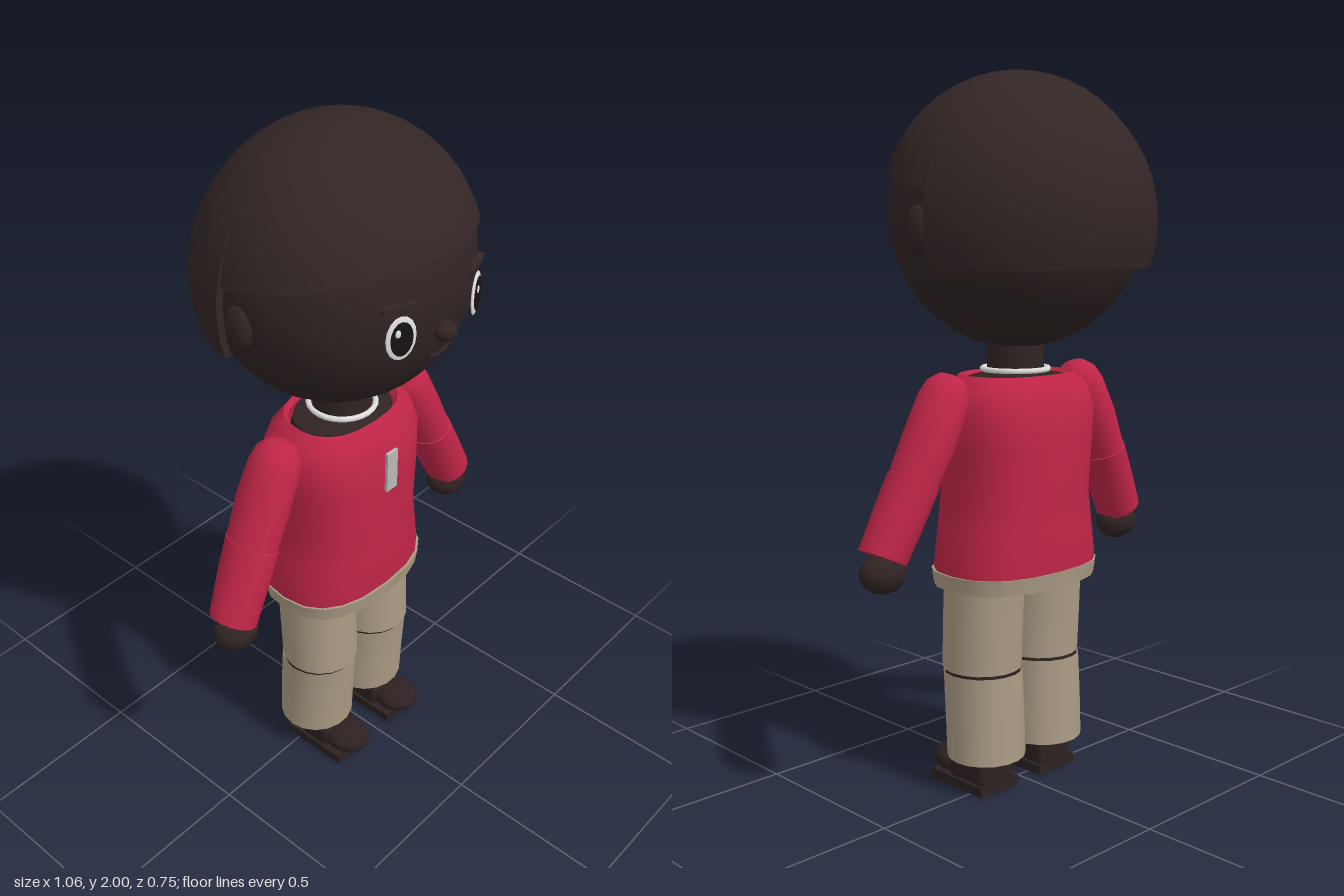
import * as THREE from 'three';
import { toCreasedNormals } from 'three/addons/utils/BufferGeometryUtils.js';
import { RoundedBoxGeometry } from 'three/addons/geometries/RoundedBoxGeometry.js';

const mat = (name, color, side = THREE.FrontSide) => {
  const m = new THREE.MeshStandardMaterial({ color, side });
  m.name = name;
  return m;
};

// Surface through a grid of points f(row, column)
function grid(rows, cols, f, crease = 0.75) {
  const pos = [], idx = [];
  for (let i = 0; i <= rows; i++)
    for (let j = 0; j <= cols; j++) pos.push(...f(i, j));
  for (let i = 0; i < rows; i++)
    for (let j = 0; j < cols; j++) {
      const a = i * (cols + 1) + j, c = a + cols + 1;
      idx.push(a, c, a + 1, a + 1, c, c + 1);
    }
  const g = new THREE.BufferGeometry();
  g.setAttribute('position', new THREE.Float32BufferAttribute(pos, 3));
  g.setIndex(idx);
  return toCreasedNormals(g, crease);
}

// Loft through upward rings [y, rx, rz, zCentre]; p < 1 squares the section
function loft(rings, sides = 18, p = 1) {
  const pw = (v) => Math.sign(v) * Math.abs(v) ** p;
  return grid(rings.length - 1, sides, (i, j) => {
    const [y, rx, rz, cz = 0] = rings[i], a = ((j % sides) / sides) * Math.PI * 2;
    return [rx * pw(Math.cos(a)), y, cz + rz * pw(Math.sin(a))];
  });
}

export function createModel() {
  const root = new THREE.Group();
  const D = THREE.DoubleSide;
  const skin = mat('skin', 0x302423), hair = mat('hair', 0x322625, D);
  const red = mat('shirt red', 0xc02548, D), khaki = mat('trouser khaki', 0xaa9c84, D);
  const white = mat('white', 0xe2e2e0), silver = mat('placket grey', 0xb9b9b8);
  const dark = mat('eye black', 0x171212), shoeMat = mat('shoe brown', 0x2d2221);

  const add = (name, geo, m, x = 0, y = 0, z = 0, parent = root) => {
    const mesh = new THREE.Mesh(geo, m);
    mesh.name = name;
    mesh.position.set(x, y, z);
    parent.add(mesh);
    return mesh;
  };
  const ball = (rx, ry, rz, w = 16, h = 12) => new THREE.SphereGeometry(1, w, h).scale(rx, ry, rz);

  // Head, nose and smile
  add('head', ball(0.365, 0.365, 0.345, 24, 18), skin, 0, 1.62, 0);
  add('nose', ball(0.032, 0.027, 0.03, 10, 8), skin, 0, 1.55, 0.345);
  const smile = new THREE.TorusGeometry(0.065, 0.007, 6, 12, 1.5).rotateZ(-Math.PI / 2 - 0.75);
  add('mouth', smile, skin, 0, 1.54, 0.334).rotation.x = 0.15;

  // Hair cap, cut by a plane that rises towards the forehead
  const capCols = 32, capRows = 12;
  const cap = grid(capRows + 1, capCols, (i, j) => {
    const a = ((j % capCols) / capCols) * Math.PI * 2, k = i === 0 ? 0.955 : 1;
    const B = 0.22 * 0.36 * Math.sin(a);
    const rim = Math.acos(0.056 / Math.hypot(0.375, B)) - Math.atan2(B, 0.375);
    const t = rim * (1 - Math.max(i - 1, 0) / capRows), s = Math.sin(t);
    return [0.375 * k * s * Math.cos(a), 1.625 + 0.375 * Math.cos(t), 0.36 * k * s * Math.sin(a)];
  });
  add('hairCap', cap, hair);

  // Back hair, a shell behind the ears with turned-in edges
  const backRows = 14, backCols = 22;
  const back = grid(backRows + 1, backCols + 2, (i, j) => {
    const t0 = Math.asin(0.05 / 0.378), t1 = Math.acos(-0.32);
    const t = t1 + (t0 - t1) * Math.max(i - 1, 0) / backRows, s = Math.sin(t);
    const k = i === 0 || j === 0 || j === backCols + 2 ? 0.94 : 1;
    const half = Math.acos(Math.min(1, 0.05 / (0.378 * s)));
    const u = Math.min(Math.max(j - 1, 0), backCols) / backCols * 2 - 1;
    return [0.388 * s * k * Math.sin(u * half), 1.6 + 0.39 * Math.cos(t),
      -0.378 * s * Math.cos(u * half) * (i === 0 ? k : 1)];
  });
  add('backHair', back, hair);

  // Neck, chest and collar
  add('neck', new THREE.CylinderGeometry(0.078, 0.08, 0.14, 16), skin, 0, 1.23, 0.01);
  add('chest', loft([[1.14, 0.17, 0.12, 0.01], [1.175, 0.155, 0.115, 0.01], [1.19, 0.07, 0.07, 0.01],
    [1.19, 0.001, 0.001, 0.01]]), skin);
  const collar = new THREE.TorusGeometry(0.092, 0.008, 6, 24).rotateX(Math.PI / 2);
  add('collar', collar, white, 0, 1.195, 0.01);

  // Shirt body, placket and trouser waist
  add('shirt', loft([[0.62, 0.246, 0.173, 0.01], [0.65, 0.247, 0.175, 0.01], [0.75, 0.23, 0.175, 0.01],
    [0.85, 0.214, 0.175, 0.01], [1.0, 0.227, 0.177, 0.008], [1.09, 0.236, 0.17, 0.006],
    [1.15, 0.218, 0.148, 0.006], [1.185, 0.17, 0.125, 0.006], [1.17, 0.155, 0.115, 0.006]], 20, 0.8), red);
  add('placket', new THREE.BoxGeometry(0.042, 0.125, 0.009), silver, 0, 1.048, 0.189);
  add('waistband', loft([[0.597, 0.246, 0.174, 0.012], [0.642, 0.252, 0.18, 0.012],
    [0.642, 0.23, 0.16, 0.012]], 20, 0.8), khaki);
  add('hips', loft([[0.61, 0.001, 0.001, 0.012], [0.61, 0.242, 0.17, 0.012], [0.625, 0.242, 0.17, 0.012]],
    20, 0.8), skin);

  for (const s of [1, -1]) {
    const side = s > 0 ? 'left' : 'right';

    // Eye, brow and ear
    const eye = new THREE.Group();
    eye.name = side + 'Eye';
    eye.position.set(s * 0.145, 1.585, 0.324);
    eye.rotation.y = s * 0.39;
    root.add(eye);
    add('eyeWhite', ball(0.042, 0.06, 0.006, 20, 8), white, 0, 0, 0, eye);
    add('iris', ball(0.031, 0.047, 0.004, 20, 8), dark, 0, 0, 0.005, eye);
    add('eyeGlint', ball(0.008, 0.011, 0.003, 10, 6), white, -0.012, 0.018, 0.008, eye);
    add('brow', new THREE.BoxGeometry(0.1, 0.015, 0.015), hair, 0, 0.08, -0.004, eye);
    add(side + 'Ear', ball(0.028, 0.062, 0.042, 12, 10), skin, s * 0.358, 1.58, 0);

    // Arm hanging outwards: upper sleeve, lower sleeve and hand
    const arm = new THREE.Group();
    arm.name = side + 'Arm';
    arm.position.set(s * 0.263, 1.135, 0.012);
    arm.rotation.z = s * 0.4636;
    root.add(arm);
    add('upperSleeve', loft([[-0.245, 0.064, 0.076, 0.006], [-0.12, 0.069, 0.08, 0], [-0.01, 0.068, 0.074, 0],
      [0.03, 0.06, 0.062, 0], [0.058, 0.036, 0.038, 0], [0.066, 0.001, 0.001, 0]]), red, 0, 0, 0, arm);
    add('lowerSleeve', loft([[-0.455, 0.001, 0.001, 0.02], [-0.455, 0.066, 0.068, 0.02],
      [-0.35, 0.068, 0.075, 0.013], [-0.235, 0.067, 0.08, 0.006], [-0.225, 0.05, 0.06, 0.006]]), red, 0, 0, 0, arm);
    add(side + 'Hand', ball(0.068, 0.055, 0.058, 12, 10), skin, s * 0.462, 0.686, 0.036);

    // Leg in two tubes with a dark crease at the knee
    const leg = new THREE.Group();
    leg.name = side + 'Leg';
    leg.position.x = s * 0.116;
    root.add(leg);
    add('upperTrouser', loft([[0.358, 0.112, 0.113, 0.027], [0.5, 0.114, 0.113, 0.021],
      [0.63, 0.114, 0.112, 0.015]]), khaki, 0, 0, 0, leg);
    add('lowerTrouser', loft([[0.1, 0.001, 0.001, 0.01], [0.1, 0.113, 0.11, 0.01], [0.22, 0.113, 0.111, 0.015],
      [0.35, 0.112, 0.112, 0.023]]), khaki, 0, 0, 0, leg);
    add('knee', new THREE.CylinderGeometry(0.107, 0.107, 0.03, 18), skin, 0, 0.354, 0.025, leg);

    // Shoe
    add('ankle', new THREE.CylinderGeometry(0.05, 0.055, 0.08, 12), skin, 0, 0.1, 0.015, leg);
    add('sole', new THREE.BoxGeometry(0.145, 0.028, 0.21), shoeMat, 0, 0.014, 0.06, leg);
    add('shoeHeel', new RoundedBoxGeometry(0.13, 0.08, 0.15, 2, 0.02), shoeMat, 0, 0.057, 0.032, leg);
    add('shoeToe', ball(0.064, 0.042, 0.075, 14, 10), shoeMat, 0, 0.053, 0.135, leg);
  }
  return root;
}
